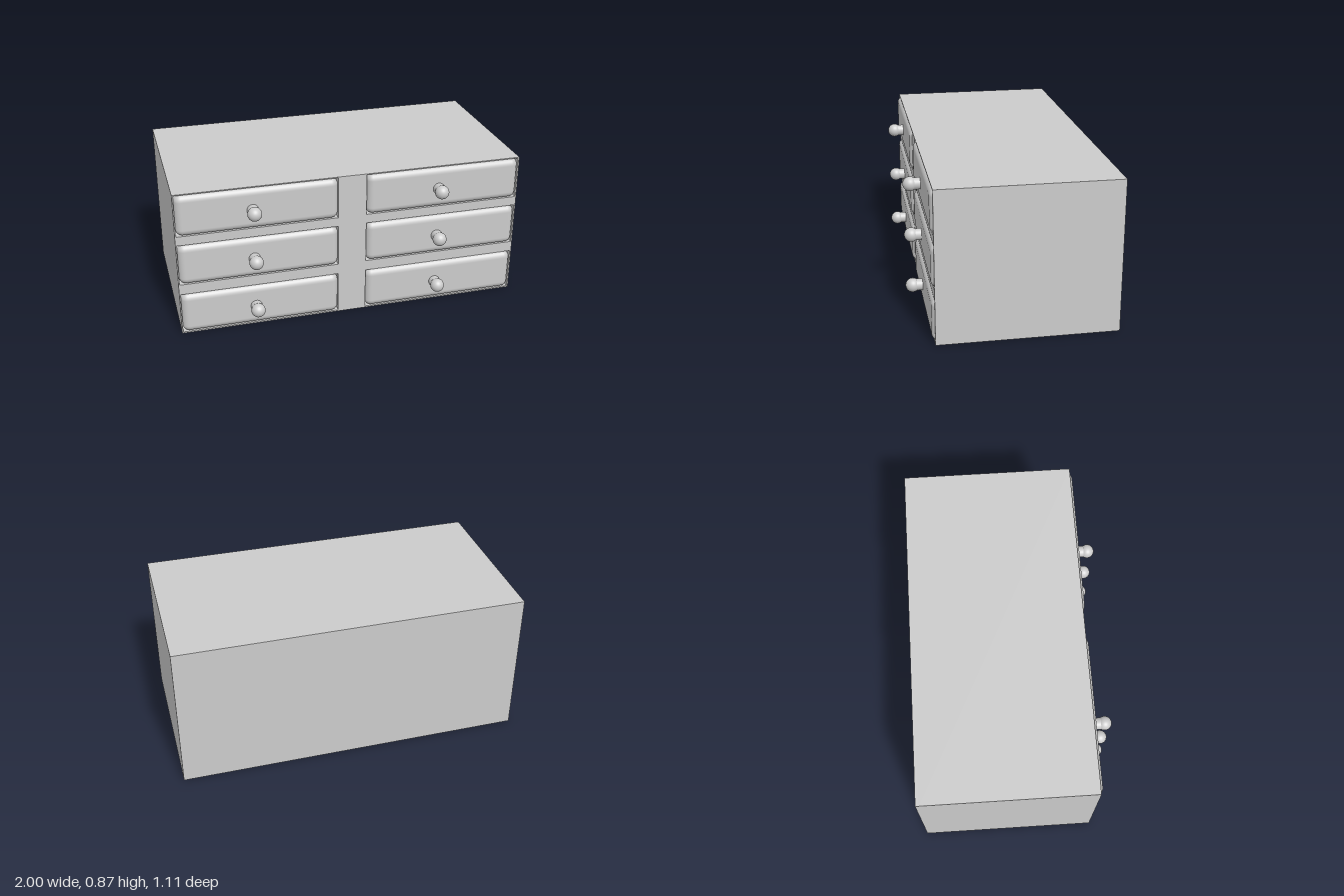
import * as THREE from 'three';
import { RoundedBoxGeometry } from 'three/addons/geometries/RoundedBoxGeometry.js';

const W = 2, H = 0.865, BACK = -0.555, FRONT = 0.445, PANEL = 0.02;
const DRAWER_W = 0.91, DRAWER_H = 0.245, DRAWER_D = 0.3;
const COLUMNS = [{ x: -0.538, knobX: -0.57 }, { x: 0.537, knobX: 0.505 }];
const ROWS = [0.131, 0.438, 0.737];

function rect(path, x0, y0, x1, y1) {
  path.moveTo(x0, y0);
  path.lineTo(x1, y0);
  path.lineTo(x1, y1);
  path.lineTo(x0, y1);
  path.closePath();
  return path;
}

export function createModel() {
  const model = new THREE.Group();
  model.name = 'dresser';
  const material = new THREE.MeshStandardMaterial({ color: 0xcccccc });

  const add = (parent, name, geometry, x, y, z) => {
    const mesh = new THREE.Mesh(geometry, material);
    mesh.name = name;
    mesh.position.set(x, y, z);
    parent.add(mesh);
    return mesh;
  };

  // Carcass: outer block with one opening per drawer
  const outline = rect(new THREE.Shape(), -W / 2, 0, W / 2, H);
  for (const { x } of COLUMNS) {
    for (const y of ROWS) {
      outline.holes.push(rect(new THREE.Path(),
        x - DRAWER_W / 2, y - DRAWER_H / 2, x + DRAWER_W / 2, y + DRAWER_H / 2));
    }
  }
  const carcass = new THREE.ExtrudeGeometry(outline, {
    depth: FRONT - BACK - PANEL, bevelEnabled: false,
  });
  add(model, 'carcass', carcass, 0, 0, BACK + PANEL);
  add(model, 'backPanel', new THREE.BoxGeometry(W, H, PANEL), 0, H / 2, BACK + PANEL / 2);

  // Drawers with softly rounded fronts and ball knobs
  const frontGeometry = new RoundedBoxGeometry(DRAWER_W, DRAWER_H, DRAWER_D, 6, 0.04);
  const stemGeometry = new THREE.CylinderGeometry(0.033, 0.033, 0.06, 32).rotateX(Math.PI / 2);
  const ballGeometry = new THREE.SphereGeometry(0.04, 32, 20);
  for (const { x, knobX } of COLUMNS) {
    for (const y of ROWS) {
      const drawer = new THREE.Group();
      drawer.name = 'drawer';
      add(drawer, 'drawerFront', frontGeometry, x, y, 0.46 - DRAWER_D / 2);
      add(drawer, 'knobStem', stemGeometry, knobX, y - 0.004, 0.475);
      add(drawer, 'knobBall', ballGeometry, knobX, y - 0.004, 0.515);
      model.add(drawer);
    }
  }
  return model;
}
